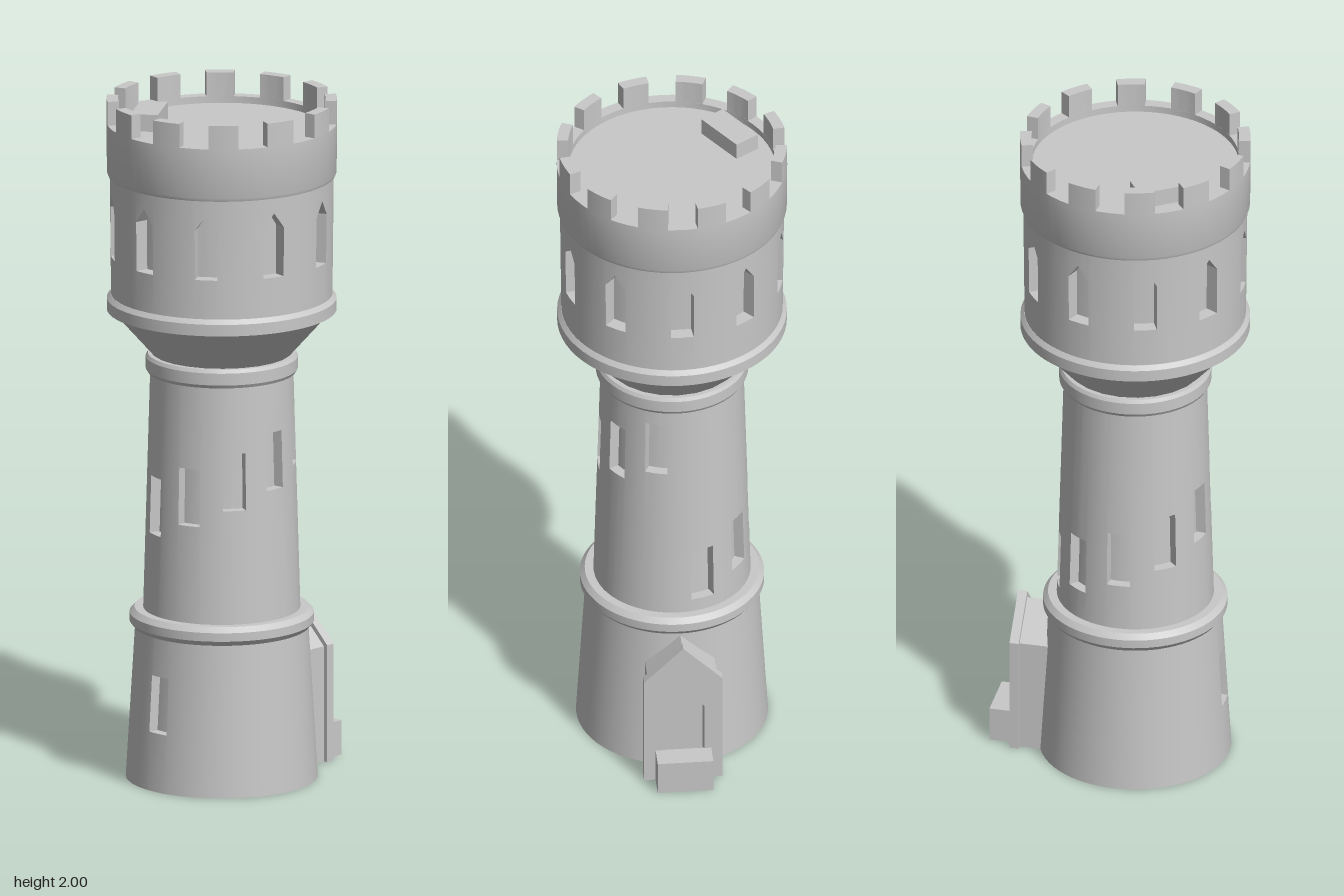
import * as THREE from 'three';
import { toCreasedNormals } from 'three/addons/utils/BufferGeometryUtils.js';

const SIDES = 64;
const TAU = Math.PI * 2;
const rad = THREE.MathUtils.degToRad;
const stone = new THREE.MeshStandardMaterial({ color: 0xc8c8c8 });
stone.name = 'stone';

function add(parent, name, geometry) {
  const mesh = new THREE.Mesh(geometry, stone);
  mesh.name = name;
  parent.add(mesh);
  return mesh;
}

// Turned solid from a bottom-to-top profile of [radius, y]
function turned(profile, sides = SIDES, crease = 0.4) {
  const g = new THREE.LatheGeometry(profile.map(p => new THREE.Vector2(...p)), sides);
  return toCreasedNormals(g, crease);
}

// Tapering round wall with recessed windows { a, half, sill, shoulder, peak }
function windowedWall(r0, y0, r1, y1, depth, windows) {
  const start = windows[0].a - 0.3;
  const wrap = a => start + ((((a - start) % TAU) + TAU) % TAU);
  const wins = windows.map(w => ({ ...w, a: wrap(w.a) }));
  const edges = wins.flatMap(w => [w.a - w.half, w.a, w.a + w.half]);
  const cuts = [...edges, start, start + TAU];
  for (let i = 1; i < SIDES; i++) {
    const a = start + (i / SIDES) * TAU;
    if (edges.every(e => Math.abs(e - a) > 0.02)) cuts.push(a);
  }
  cuts.sort((p, q) => p - q);

  const pos = [];
  const point = (a, y, d = 0) => {
    const r = r0 + ((r1 - r0) * (y - y0)) / (y1 - y0) - d;
    return [r * Math.sin(a), y, r * Math.cos(a)];
  };
  const quad = (p, q, r, s) => pos.push(...p, ...q, ...r, ...p, ...r, ...s);
  const strip = (a, b, la, lb, ta, tb, d = 0) =>
    quad(point(a, la, d), point(b, lb, d), point(b, tb, d), point(a, ta, d));

  for (let i = 0; i + 1 < cuts.length; i++) {
    const a = cuts[i], b = cuts[i + 1], mid = (a + b) / 2;
    const w = wins.find(v => Math.abs(v.a - mid) < v.half);
    if (!w) {
      strip(a, b, y0, y0, y1, y1);
      continue;
    }
    const top = t => w.shoulder + (w.peak - w.shoulder) * (1 - Math.abs(t - w.a) / w.half);
    const s = w.sill, ta = top(a), tb = top(b);
    strip(a, b, y0, y0, s, s);
    strip(a, b, ta, tb, y1, y1);
    strip(a, b, s, s, ta, tb, depth);
    // sill and head
    quad(point(a, s), point(b, s), point(b, s, depth), point(a, s, depth));
    quad(point(a, ta, depth), point(b, tb, depth), point(b, tb), point(a, ta));
    // jambs
    if (Math.abs(a - (w.a - w.half)) < 1e-6)
      quad(point(a, s), point(a, s, depth), point(a, ta, depth), point(a, ta));
    if (Math.abs(b - (w.a + w.half)) < 1e-6)
      quad(point(b, s, depth), point(b, s), point(b, tb), point(b, tb, depth));
  }
  const g = new THREE.BufferGeometry();
  g.setAttribute('position', new THREE.Float32BufferAttribute(pos, 3));
  return toCreasedNormals(g, 0.4);
}

// Outline of a gabled slab or opening
function gable(Type, half, shoulder, peak) {
  return new Type([[-half, 0], [half, 0], [half, shoulder], [0, peak], [-half, shoulder]]
    .map(p => new THREE.Vector2(...p)));
}

// Gabled slab facing +x, from x0 to x1, with an optional pointed opening
function gableSlab(half, shoulder, peak, x0, x1, open) {
  const shape = gable(THREE.Shape, half, shoulder, peak);
  if (open) {
    // the opening rises from just above the ground
    const hole = new THREE.Path([[-0.06, 0.004], [0.06, 0.004], [0.06, 0.25], [0, 0.33], [-0.06, 0.25]]
      .map(p => new THREE.Vector2(...p)));
    shape.holes.push(hole);
  }
  const g = new THREE.ExtrudeGeometry(shape, { depth: x1 - x0, bevelEnabled: false });
  return g.rotateY(Math.PI / 2).translate(x0, 0, 0);
}

export function createModel() {
  const model = new THREE.Group();
  model.name = 'watchtower';
  const tower = new THREE.Group();
  tower.name = 'tower';
  tower.position.x = -0.04;
  model.add(tower);

  // Base with one small window opposite the door
  add(tower, 'baseUnderside', turned([[0, 0], [0.275, 0]]));
  add(tower, 'baseWall', windowedWall(0.275, 0, 0.248, 0.45, 0.03,
    [{ a: rad(270), half: 0.13, sill: 0.17, shoulder: 0.335, peak: 0.335 }]));
  add(tower, 'baseMoulding', turned([
    [0.24, 0.445], [0.252, 0.445], [0.264, 0.46], [0.264, 0.485], [0.25, 0.5], [0.22, 0.5]]));

  // Shaft with windows climbing in a spiral
  const spiral = [];
  for (let i = 0; i < 10; i++) {
    const sill = 0.54 + i * 0.0488;
    spiral.push({ a: rad(108 + 36 * i), half: 0.155, sill, shoulder: sill + 0.168, peak: sill + 0.168 });
  }
  // the spiral climbs through the back, then the right side, to the front
  spiral.forEach((w, i) => { w.a = rad(i === 0 ? 108 : 108 + 36 * i); });
  add(tower, 'shaftWall', windowedWall(0.225, 0.5, 0.205, 1.2, 0.03, spiral));
  add(tower, 'shaftCollar', turned([
    [0.2, 1.195], [0.212, 1.195], [0.218, 1.205], [0.218, 1.24], [0.212, 1.25], [0.18, 1.25]]));

  // Faceted flare that carries the wider drum
  add(tower, 'flare', turned([[0.195, 1.245], [0.315, 1.38]], 24, 0.01));
  add(tower, 'drumMoulding', turned([
    [0.3, 1.378], [0.329, 1.378], [0.329, 1.412], [0.318, 1.425], [0.3, 1.425]]));

  // Drum with ten pointed windows
  const lancets = [];
  for (let i = 0; i < 10; i++)
    lancets.push({ a: rad(18 + 36 * i), half: 0.103, sill: 1.54, shoulder: 1.685, peak: 1.73 });
  add(tower, 'drumWall', windowedWall(0.317, 1.42, 0.321, 1.78, 0.04, lancets));

  // Parapet, roof floor and battlements
  add(tower, 'parapet', turned([
    [0.31, 1.775], [0.325, 1.775], [0.329, 1.785], [0.33, 1.93], [0.297, 1.93], [0.297, 1.91], [0, 1.91]]));
  const half = rad(7.5);
  const sector = new THREE.Shape();
  sector.absarc(0, 0, 0.33, -half, half, false);
  sector.absarc(0, 0, 0.297, half, -half, true);
  const merlonGeometry = toCreasedNormals(
    new THREE.ExtrudeGeometry(sector, { depth: 0.07, bevelEnabled: false, curveSegments: 4 })
      .rotateX(-Math.PI / 2), 0.4);
  for (let i = 0; i < 12; i++) {
    const merlon = add(tower, 'merlon', merlonGeometry);
    merlon.position.y = 1.93;
    merlon.rotation.y = rad(15 + 30 * i);
  }

  // Roof hatch
  const hatch = add(model, 'roofHatch', new THREE.BoxGeometry(0.16, 0.06, 0.079));
  hatch.position.set(-0.156, 1.93, -0.177);
  hatch.rotation.y = 0.588;

  // Gabled porch, door recess and step on the model's left
  const porch = new THREE.Group();
  porch.name = 'porch';
  model.add(porch);
  add(porch, 'porchBody', gableSlab(0.1, 0.34, 0.437, 0.1, 0.25, false));
  add(porch, 'porchReveal', gableSlab(0.1, 0.34, 0.437, 0.25, 0.278, true));
  add(porch, 'doorFrame', gableSlab(0.113, 0.345, 0.457, 0.277, 0.304, true));
  const step = add(porch, 'doorStep', new THREE.BoxGeometry(0.068, 0.102, 0.16));
  step.position.set(0.336, 0.051, 0);

  return model;
}
